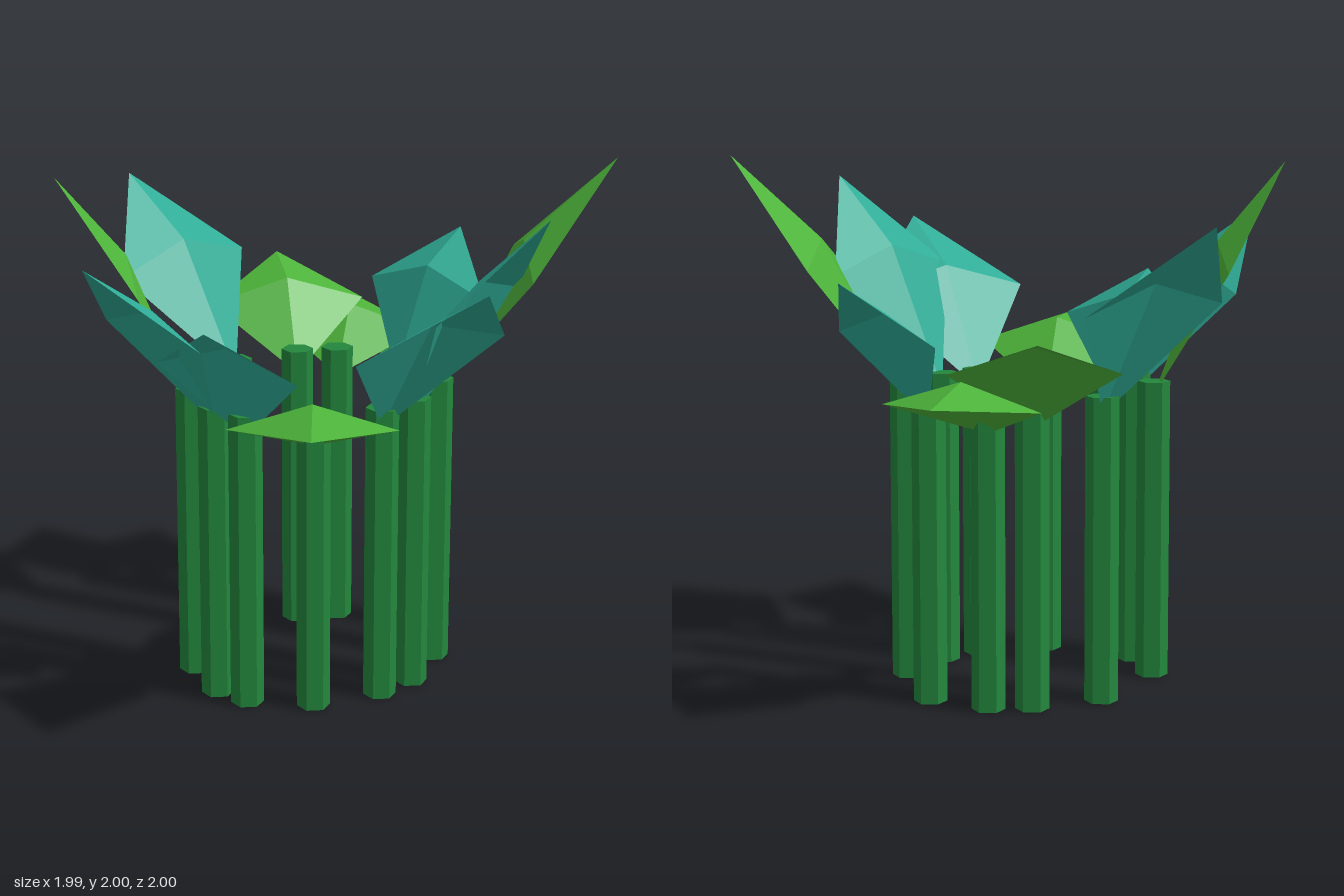
import * as THREE from 'three';

const STEM_HEIGHT = 1.15;
const STEM_RADIUS = 0.063;

// Folded diamond sheet: base, two side corners and tip, with a raised centre.
function leafGeometry(x, z, tipX, tipY, tipZ, halfWidth) {
  const base = new THREE.Vector3(x, 0.93 + 0.083 * tipY, z);
  const tip = new THREE.Vector3(tipX, tipY, tipZ);
  const mid = base.clone().lerp(tip, 0.48);
  mid.y = (base.y + tip.y) / 2 + 0.047;
  const across = new THREE.Vector3(base.z - tip.z, 0, tip.x - base.x).setLength(halfWidth);
  const sideA = mid.clone().add(across);
  const sideB = mid.clone().sub(across);
  const centre = mid.clone().setY(mid.y + 0.095);
  const rim = [base, sideB, tip, sideA];
  const points = [];
  rim.forEach((p, i) => points.push(centre, p, rim[(i + 1) % 4]));
  const geometry = new THREE.BufferGeometry().setFromPoints(points);
  geometry.computeVertexNormals();
  return geometry;
}

export function createModel() {
  const material = (name, color, extra = {}) => {
    const m = new THREE.MeshStandardMaterial({ color, flatShading: true, ...extra });
    m.name = name;
    return m;
  };
  const stemGreen = material('stem green', 0x23873d);
  const green = material('leaf green', 0x4db33a, { side: THREE.DoubleSide });
  const teal = material('leaf teal', 0x2fac96, { side: THREE.DoubleSide });

  // Stem position, leaf tip, half width of the leaf, leaf colour
  const plants = [
    [-0.13, -0.53, -0.21, 1.59, -0.915, 0.29, teal],
    [-0.33, -0.39, -0.70, 1.20, -0.795, 0.30, green],
    [-0.40, -0.245, -0.86, 1.42, -0.47, 0.31, green],
    [-0.43, 0.03, -1.00, 1.805, 0.15, 0.33, teal],
    [-0.21, 0.38, -0.41, 1.98, 0.83, 0.295, green],
    [0.02, 0.43, 0.06, 1.76, 1.00, 0.285, teal],
    [0.16, 0.39, 0.28, 1.52, 0.645, 0.295, teal],
    [0.33, 0.205, 0.88, 1.28, 0.615, 0.305, green],
    [0.395, -0.06, 0.99, 1.705, -0.055, 0.335, teal],
    [0.37, -0.23, 0.86, 1.89, -0.44, 0.325, teal],
    [0.23, -0.45, 0.595, 2.00, -1.00, 0.297, green],
  ];

  const group = new THREE.Group();
  group.name = 'plantRing';
  const stemGeometry = new THREE.CylinderGeometry(
    STEM_RADIUS, STEM_RADIUS, STEM_HEIGHT, 6, 1, false, Math.PI / 2);

  for (const [x, z, tipX, tipY, tipZ, halfWidth, colour] of plants) {
    const stem = new THREE.Mesh(stemGeometry, stemGreen);
    stem.name = 'stem';
    stem.position.set(x, STEM_HEIGHT / 2, z);
    const leaf = new THREE.Mesh(leafGeometry(x, z, tipX, tipY, tipZ, halfWidth), colour);
    leaf.name = 'leaf';
    group.add(stem, leaf);
  }
  return group;
}
